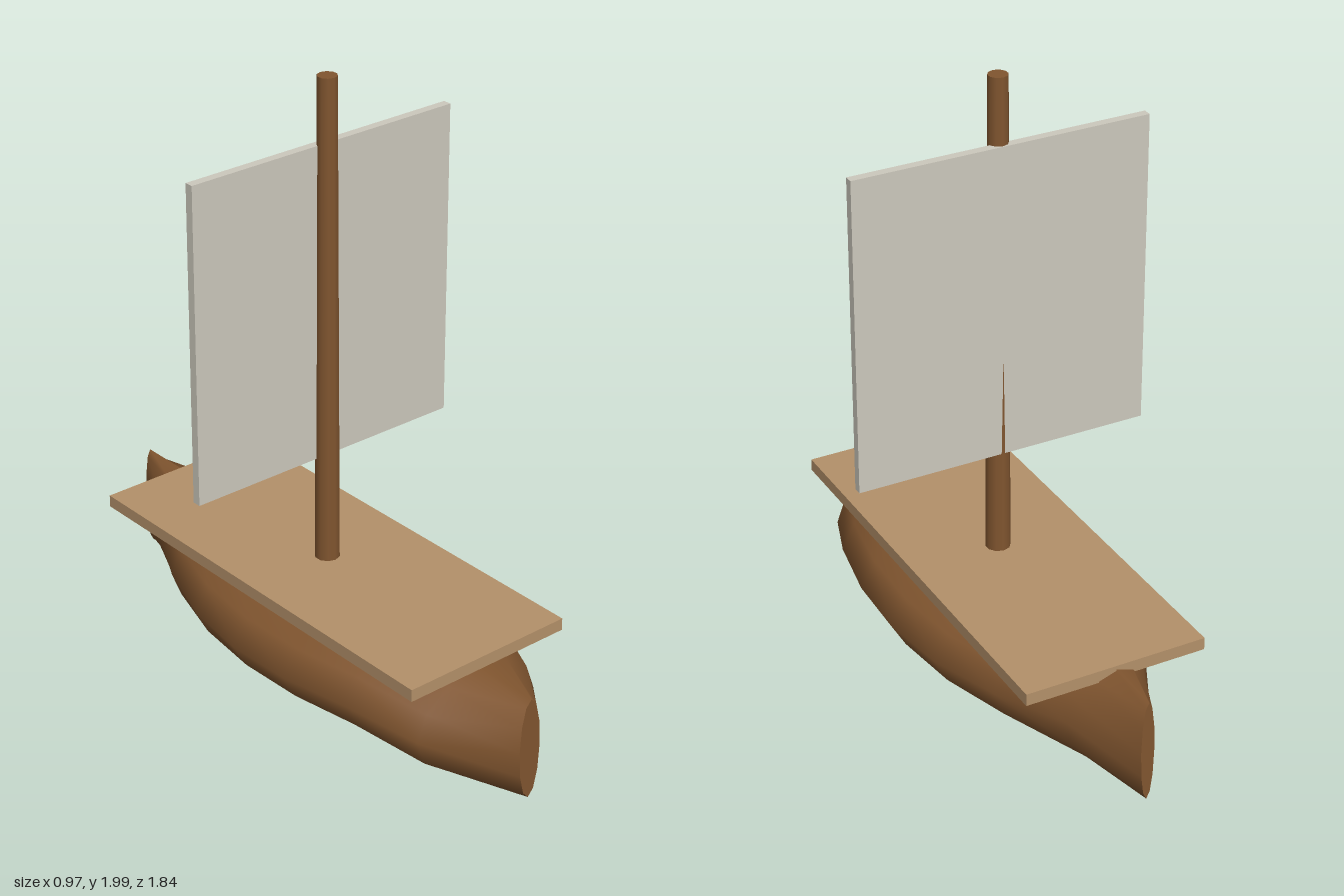
import * as THREE from 'three';

const wood = new THREE.MeshStandardMaterial({ color: 0x80552f });
wood.name = 'dark wood';
const planks = new THREE.MeshStandardMaterial({ color: 0xb39069 });
planks.name = 'light planks';
const canvas = new THREE.MeshStandardMaterial({ color: 0xccc8bc });
canvas.name = 'canvas';

function addMesh(group, name, geometry, material, x, y, z) {
  const mesh = new THREE.Mesh(geometry, material);
  mesh.name = name;
  mesh.position.set(x, y, z);
  group.add(mesh);
}

// Twelve-sided oval rings lofted from bow to stern: [z, half width, centre height]
function hullGeometry() {
  const stations = [
    [0.92, 0.04, 0.178], [0.69, 0.234, 0.178], [0.46, 0.322, 0.23],
    [0.23, 0.366, 0.23], [0, 0.375, 0.23], [-0.23, 0.343, 0.23],
    [-0.46, 0.262, 0.23], [-0.69, 0.141, 0.23], [-0.92, 0.022, 0.23],
  ];
  const sides = 12, halfHeight = 0.172;
  const pos = [], index = [];
  const ring = ([z, w, cy]) => {
    for (let i = 0; i < sides; i++) {
      const a = (i / sides) * Math.PI * 2;
      pos.push(w * Math.cos(a), cy + halfHeight * Math.sin(a), z);
    }
  };
  stations.forEach(ring);
  for (let s = 0; s < stations.length - 1; s++) {
    for (let i = 0; i < sides; i++) {
      const a = s * sides + i, b = s * sides + (i + 1) % sides;
      index.push(a, a + sides, b, b, a + sides, b + sides);
    }
  }
  // Flat end caps with their own corners
  const bow = pos.length / 3;
  ring(stations[0]);
  const stern = pos.length / 3;
  ring(stations[stations.length - 1]);
  for (let i = 1; i < sides - 1; i++) {
    index.push(bow, bow + i, bow + i + 1);
    index.push(stern, stern + i + 1, stern + i);
  }
  const geometry = new THREE.BufferGeometry();
  geometry.setAttribute('position', new THREE.Float32BufferAttribute(pos, 3));
  geometry.setIndex(index);
  geometry.computeVertexNormals();
  return geometry;
}

export function createModel() {
  const boat = new THREE.Group();
  boat.name = 'sailboat';
  addMesh(boat, 'hull', hullGeometry(), wood, 0, 0, 0);
  addMesh(boat, 'deck', new THREE.BoxGeometry(0.6, 0.04, 1.47), planks, 0, 0.395, 0);
  // Tapered mast standing on the deck
  addMesh(boat, 'mast', new THREE.CylinderGeometry(0.031, 0.04, 1.6, 10), wood, 0, 1.2, 0);
  // Square sail just behind the mast
  addMesh(boat, 'sail', new THREE.BoxGeometry(0.97, 1.024, 0.028), canvas, 0, 1.276, -0.022);
  return boat;
}
